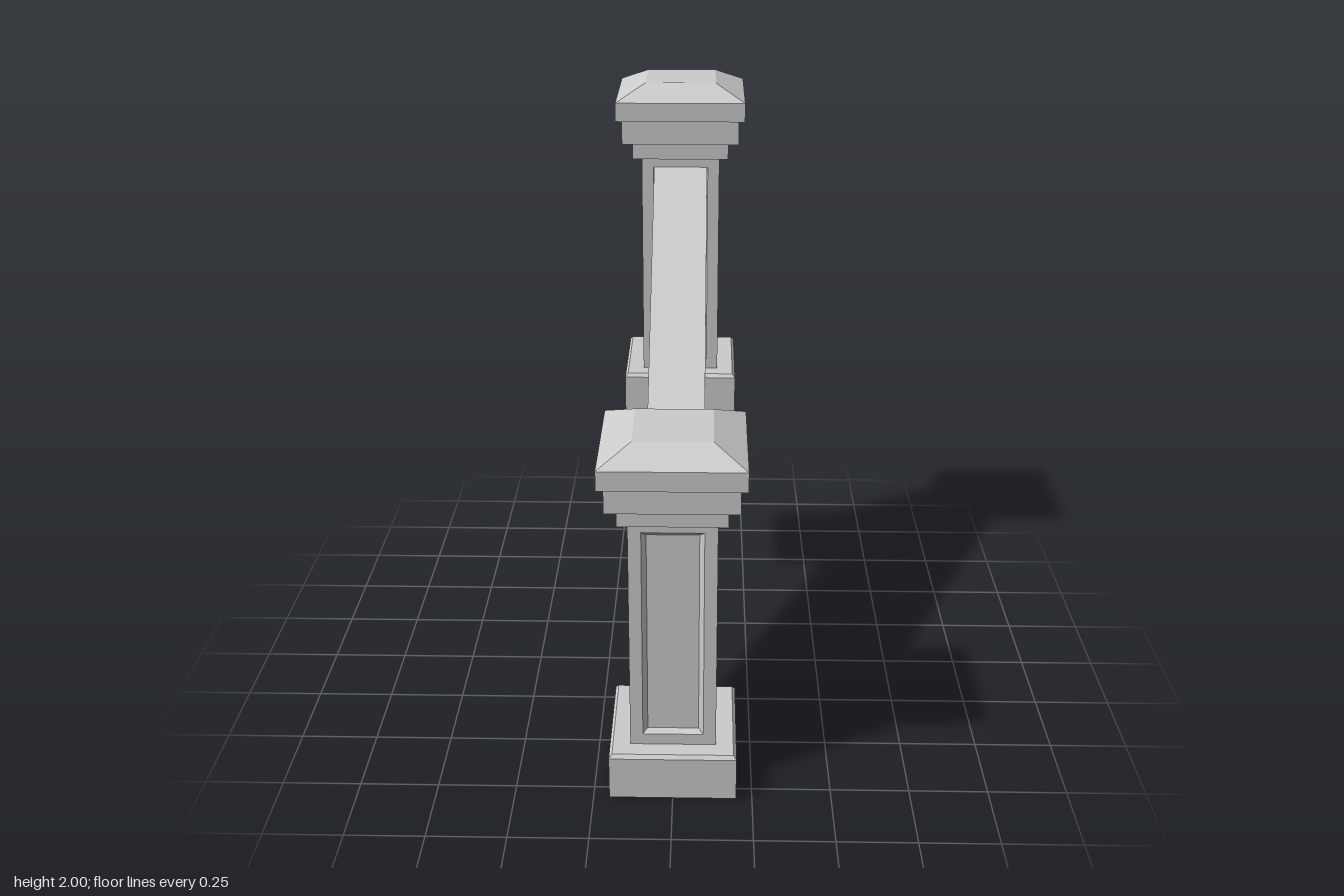
import * as THREE from 'three';

const material = new THREE.MeshStandardMaterial({
  color: 0xcccccc, flatShading: true, side: THREE.DoubleSide,
});

function addMesh(parent, name, geometry) {
  const mesh = new THREE.Mesh(geometry, material);
  mesh.name = name;
  parent.add(mesh);
  return mesh;
}

// Square moulding from [halfWidth, y] steps, bottom to top
function squareMoulding(profile) {
  const points = profile.map(([w, y]) => new THREE.Vector2(w * Math.SQRT2, y));
  const geometry = new THREE.LatheGeometry(points, 4, Math.PI / 4).toNonIndexed();
  geometry.computeVertexNormals();
  return geometry;
}

// Wall facing +z from nested rectangles [halfWidth, bottom, top, z]; the last one is filled
function panelledWall(rects) {
  const rings = rects.map(([w, y0, y1, z]) => [[-w, y0, z], [w, y0, z], [w, y1, z], [-w, y1, z]]);
  const positions = [];
  const quad = (a, b, c, d) => positions.push(...a, ...b, ...c, ...a, ...c, ...d);
  for (let r = 0; r < rings.length - 1; r++) {
    for (let i = 0; i < 4; i++) {
      const j = (i + 1) % 4;
      quad(rings[r][i], rings[r][j], rings[r + 1][j], rings[r + 1][i]);
    }
  }
  quad(...rings[rings.length - 1]);
  const geometry = new THREE.BufferGeometry();
  geometry.setAttribute('position', new THREE.Float32BufferAttribute(positions, 3));
  geometry.computeVertexNormals();
  return geometry;
}

function createPost(name) {
  const post = new THREE.Group();
  post.name = name;

  // Plinth, open underneath, with a small bevel on top
  addMesh(post, 'plinth', squareMoulding([[0.2, 0], [0.2, 0.145], [0.19, 0.157], [0.135, 0.157]]));

  // Shaft: four walls with a bevelled recessed panel
  const wall = panelledWall([
    [0.135, 0.157, 0.945, 0.135],
    [0.095, 0.195, 0.91, 0.135],
    [0.08, 0.205, 0.893, 0.115],
  ]);
  for (let i = 0; i < 4; i++) {
    addMesh(post, 'shaftPanel', wall).rotation.y = i * Math.PI / 2;
  }

  // Stepped capital and hipped cap
  addMesh(post, 'capital', squareMoulding([
    [0.135, 0.945], [0.165, 0.945], [0.165, 1.005], [0.2, 1.005], [0.2, 1.087],
    [0.22, 1.087], [0.22, 1.15], [0.12, 1.2], [0, 1.2],
  ]));
  return post;
}

export function createModel() {
  const model = new THREE.Group();
  model.name = 'stairBalustrade';

  // Lower post in front, upper post behind
  const lowerPost = createPost('lowerPost');
  lowerPost.position.set(0, 0, 0.6);
  const upperPost = createPost('upperPost');
  upperPost.position.set(0, 0.8, -0.6);
  model.add(lowerPost, upperPost);

  // Sloping solid rail between the posts, drawn in (-z, y) and extruded across x
  const end = 0.465, halfWidth = 0.092;
  const side = new THREE.Shape([
    new THREE.Vector2(-end, 0.195), new THREE.Vector2(end, 0.995),
    new THREE.Vector2(end, 1.71), new THREE.Vector2(-end, 0.91),
  ]);
  const rail = new THREE.ExtrudeGeometry(side, { depth: halfWidth * 2, bevelEnabled: false });
  rail.translate(0, 0, -halfWidth);
  rail.rotateY(Math.PI / 2);
  addMesh(model, 'slopingRail', rail);

  return model;
}
